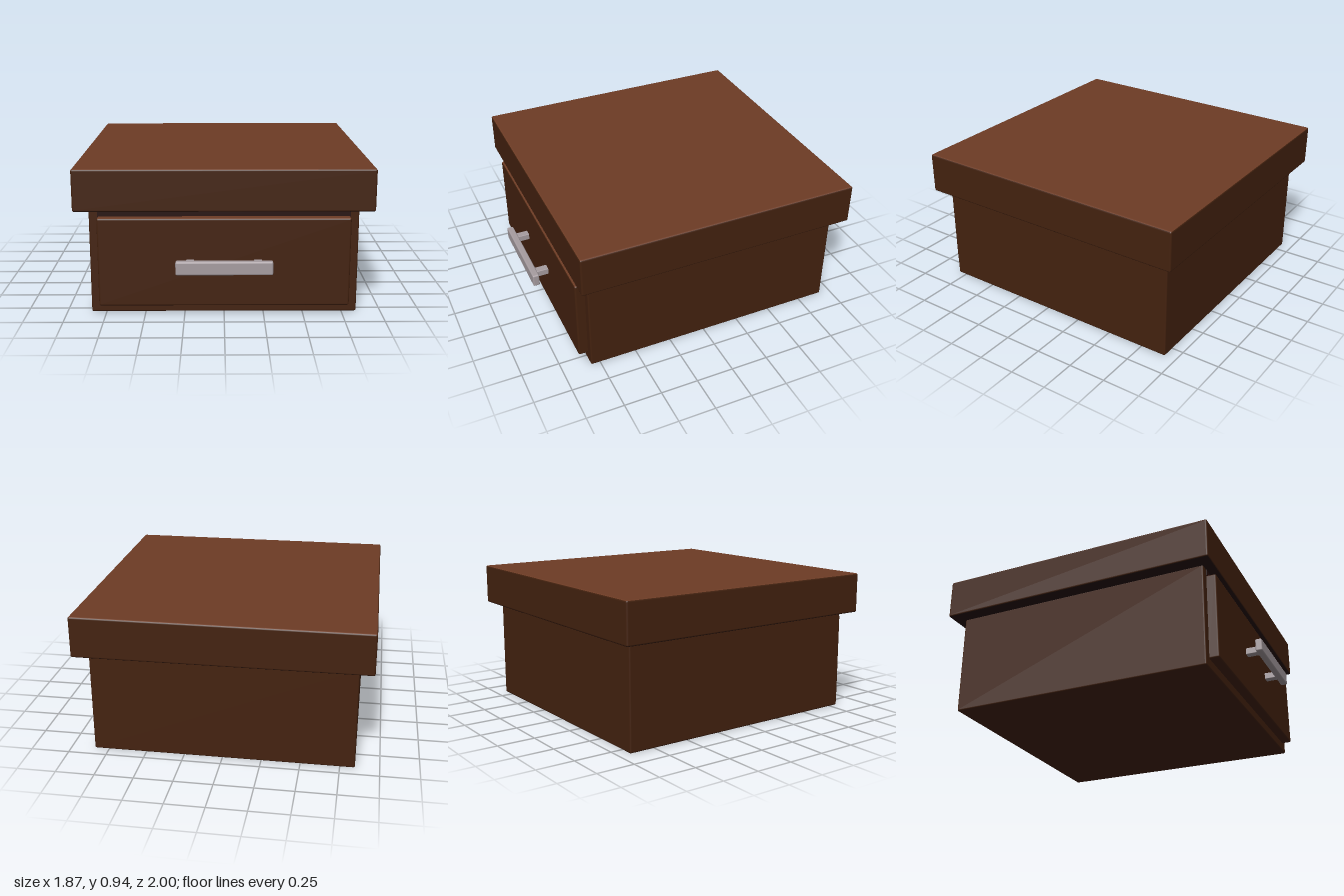
import * as THREE from 'three';
import { RoundedBoxGeometry } from 'three/addons/geometries/RoundedBoxGeometry.js';

export function createModel() {
  const model = new THREE.Group();
  model.name = 'drawerCabinet';

  const mat = (name, color) => {
    const m = new THREE.MeshStandardMaterial({ color });
    m.name = name;
    return m;
  };
  const darkWood = mat('darkWood', 0x44220f);
  const topWood = mat('topWood', 0x6e3c25);
  const shadowWood = mat('shadowWood', 0x260e0b);
  const metal = mat('metal', 0xa79da1);

  // Softly bevelled box given by its [min, max] ranges
  const box = (parent, name, [x0, x1], [y0, y1], [z0, z1], radius, material) => {
    const geometry = new RoundedBoxGeometry(x1 - x0, y1 - y0, z1 - z0, 2, radius);
    const mesh = new THREE.Mesh(geometry, material);
    mesh.name = name;
    mesh.position.set((x0 + x1) / 2, (y0 + y1) / 2, (z0 + z1) / 2);
    parent.add(mesh);
    return mesh;
  };

  // Material order: +x, -x, top, bottom, +z, -z
  const lidFaces = [darkWood, darkWood, topWood, shadowWood, darkWood, darkWood];
  const drawerFaces = [darkWood, darkWood, topWood, darkWood, darkWood, darkWood];

  // Cabinet body and overhanging lid
  box(model, 'body', [-0.845, 0.845], [0, 0.68], [-0.925, 0.812], 0.01, darkWood);
  box(model, 'lid', [-0.937, 0.937], [0.672, 0.94], [-1, 0.878], 0.012, lidFaces);

  // Dark gap above the drawer
  const gap = new THREE.Mesh(new THREE.BoxGeometry(1.58, 0.05, 0.006), shadowWood);
  gap.name = 'drawerGap';
  gap.position.set(0, 0.648, 0.812);
  model.add(gap);

  // Drawer front
  const drawer = new THREE.Group();
  drawer.name = 'drawer';
  model.add(drawer);
  box(drawer, 'drawerFront', [-0.79, 0.79], [0.06, 0.63], [0.80, 0.874], 0.012, drawerFaces);

  // Handle: bar on two posts
  const handle = new THREE.Group();
  handle.name = 'handle';
  drawer.add(handle);
  box(handle, 'handleBar', [-0.3, 0.3], [0.302, 0.388], [0.955, 1], 0.01, metal);
  for (const side of [-1, 1]) {
    const x = side * 0.212;
    box(handle, side > 0 ? 'leftPost' : 'rightPost',
      [x - 0.025, x + 0.025], [0.323, 0.367], [0.865, 0.96], 0.004, metal);
  }

  return model;
}
